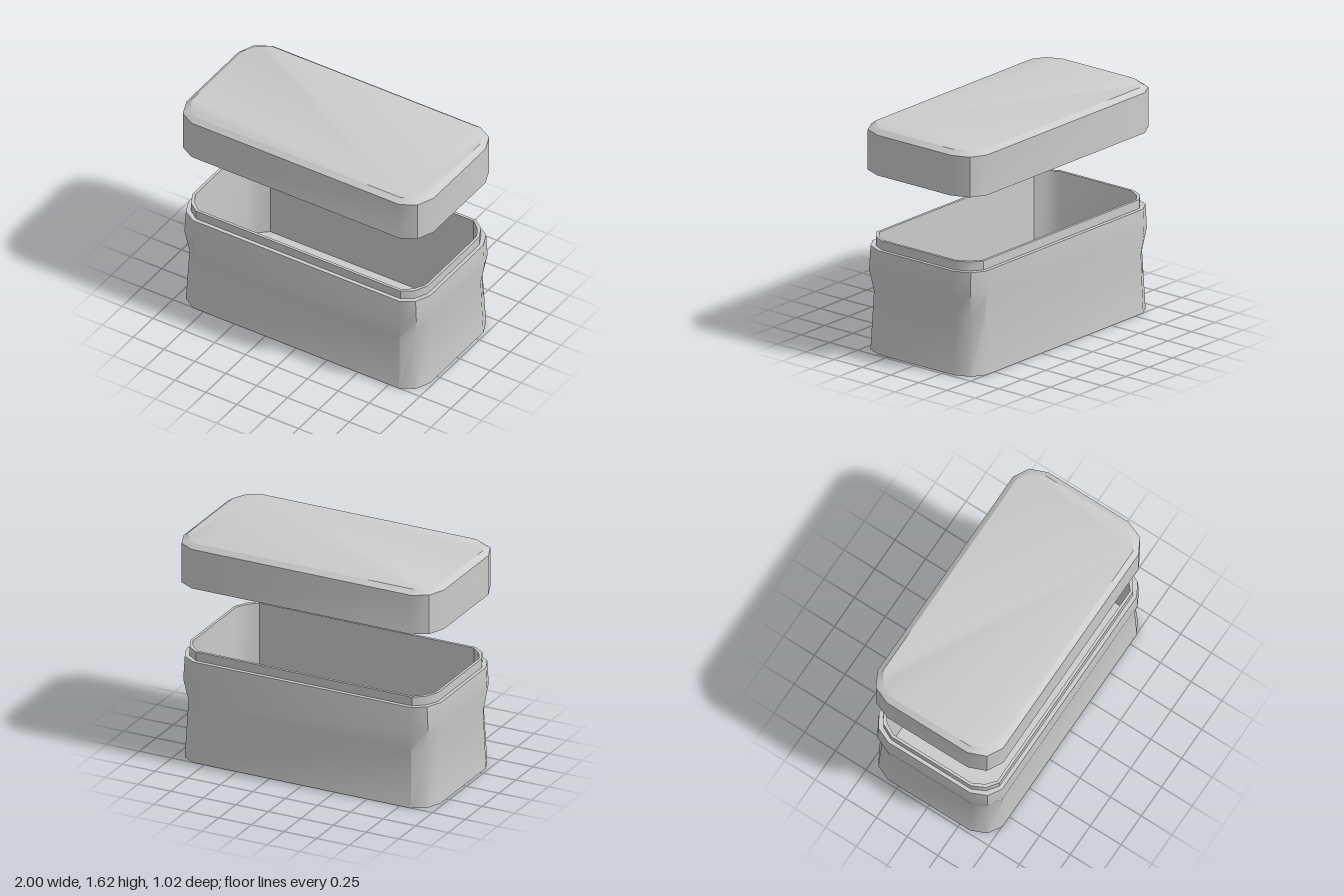
import * as THREE from 'three';
import { toCreasedNormals } from 'three/addons/utils/BufferGeometryUtils.js';

// Rectangle outline with each corner cut into two facets
function outline(hx, hz, y) {
  const k = 0.75 * (1 - hx); // cuts shrink as the outline moves inward
  const corner = [
    [hx - 0.16 + k, hz],
    [hx - 0.05 + k * 0.1, hz - 0.06 + k * 0.1],
    [hx, hz - 0.185 + k],
  ];
  const back = corner.map(([x, z]) => [x, -z]).reverse();
  const right = [...corner, ...back];
  const left = right.map(([x, z]) => [-x, -z]);
  return [...right, ...left].map(([x, z]) => new THREE.Vector3(x, y, z));
}

// Skin a sequence of [halfWidth, halfDepth, y] outlines and cap both ends
function loft(profile) {
  const rings = profile.map((p) => outline(...p));
  const n = rings[0].length;
  const points = [];
  for (let r = 0; r < rings.length - 1; r++) {
    const a = rings[r], b = rings[r + 1];
    for (let i = 0; i < n; i++) {
      const j = (i + 1) % n;
      points.push(a[i], a[j], b[j], a[i], b[j], b[i]);
    }
  }
  const first = rings[0], last = rings[rings.length - 1];
  for (let i = 1; i < n - 1; i++) {
    points.push(first[0], first[i + 1], first[i]);
    points.push(last[0], last[i], last[i + 1]);
  }
  const geometry = new THREE.BufferGeometry().setFromPoints(points);
  return toCreasedNormals(geometry, 0.58);
}

export function createModel() {
  const group = new THREE.Group();
  const material = new THREE.MeshStandardMaterial({ color: 0xcccccc });
  const add = (name, profile) => {
    const mesh = new THREE.Mesh(loft(profile), material);
    mesh.name = name;
    group.add(mesh);
  };

  // Waisted box: outer wall, ledge, raised rim, then the inside down to the floor
  add('container', [
    [0.978, 0.503, 0],
    [0.955, 0.488, 0.42],
    [0.988, 0.508, 0.58],
    [0.978, 0.503, 0.75],
    [0.952, 0.474, 0.75],
    [0.952, 0.474, 0.815],
    [0.932, 0.454, 0.815],
    [0.932, 0.454, 0.04],
  ]);

  // Hollow lid floating above: ceiling, inner wall, lower edge, outer wall, bevelled top
  add('lid', [
    [0.97, 0.482, 1.59],
    [0.97, 0.482, 1.3],
    [1, 0.512, 1.3],
    [1, 0.512, 1.59],
    [0.96, 0.474, 1.62],
  ]);

  return group;
}
